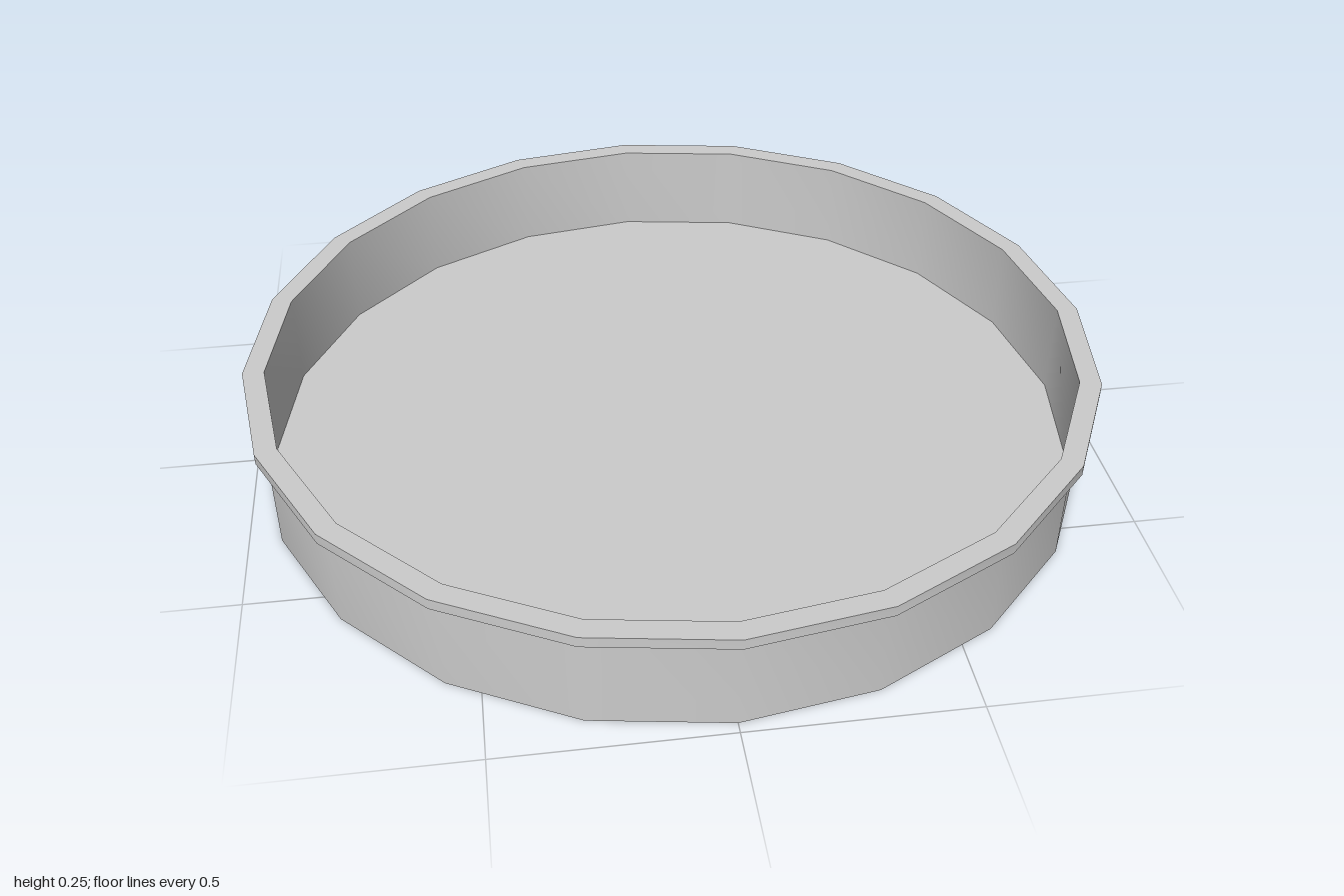
import * as THREE from 'three';
import { toCreasedNormals } from 'three/addons/utils/BufferGeometryUtils.js';

const SIDES = 20;
const HEIGHT = 0.255, LIP_Y = 0.23, FLOOR_Y = 0.03;
const INNER_R = 0.95, WALL_R = 0.975, LIP_R = 1;

export function createModel() {
  const group = new THREE.Group();
  group.name = 'roundTray';
  const material = new THREE.MeshStandardMaterial({ color: 0xcccccc });

  // Turns a profile of [radius, height] points; facets blend, edges stay sharp
  const turn = (name, profile) => {
    const points = profile.map(([r, y]) => new THREE.Vector2(r, y));
    const geometry = toCreasedNormals(new THREE.LatheGeometry(points, SIDES), Math.PI / 6);
    const mesh = new THREE.Mesh(geometry, material);
    mesh.name = name;
    group.add(mesh);
  };

  // Underside and outer wall
  turn('outerShell', [[0, 0], [WALL_R, 0], [WALL_R, LIP_Y]]);
  // Lip standing slightly proud of the wall
  turn('rim', [[WALL_R, LIP_Y], [LIP_R, LIP_Y], [LIP_R, HEIGHT], [INNER_R, HEIGHT]]);
  // Inner wall and floor
  turn('innerShell', [[INNER_R, HEIGHT], [INNER_R, FLOOR_Y], [0, FLOOR_Y]]);

  return group;
}
